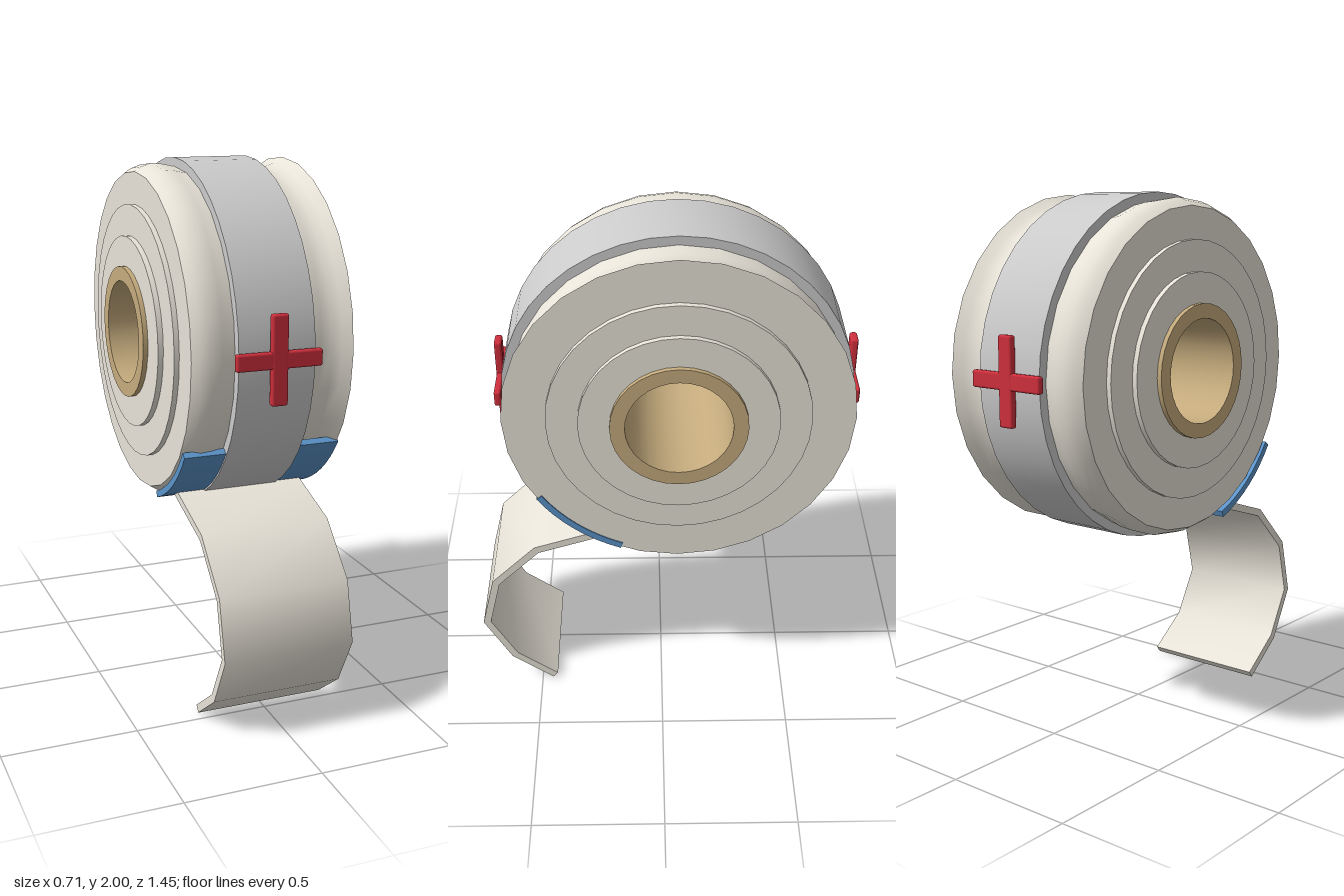
import * as THREE from 'three';
import { toCreasedNormals } from 'three/addons/utils/BufferGeometryUtils.js';
import { RoundedBoxGeometry } from 'three/addons/geometries/RoundedBoxGeometry.js';

const CY = 1.357, CZ = -0.06; // axis of the roll, running along x

const material = (color) => new THREE.MeshStandardMaterial({ color });
const cloth = material(0xe8e3d8), bandCloth = material(0xe6e6e3);
const card = material(0xc5ab7d), red = material(0xcf2f3c), blue = material(0x5b93c9);

export function createModel() {
  const model = new THREE.Group();

  const add = (name, geometry, mat, parent = model) => {
    const mesh = new THREE.Mesh(geometry, mat);
    mesh.name = name;
    parent.add(mesh);
    return mesh;
  };

  // Ring turned about the x axis: outer profile as [x, radius], closed by a bore
  const ring = (name, bore, profile, mat, segments) => {
    const first = profile[0][0], last = profile[profile.length - 1][0];
    const points = [[first, bore], ...profile, [last, bore], [first, bore]]
      .map(([x, r]) => new THREE.Vector2(r, x));
    const geometry = new THREE.LatheGeometry(points, segments);
    geometry.rotateZ(-Math.PI / 2);
    add(name, toCreasedNormals(geometry, 0.6), mat).position.set(0, CY, CZ);
  };

  // Sheet of even thickness following a [z, y] path, extruded across x
  const sheet = (name, path, thickness, width, mat) => {
    const pts = path.map(([z, y]) => new THREE.Vector2(z, y));
    const side = (s) => pts.map((p, i) => {
      const a = pts[Math.max(i - 1, 0)], b = pts[Math.min(i + 1, pts.length - 1)];
      const t = b.clone().sub(a).normalize();
      return new THREE.Vector2(p.x - t.y * s, p.y + t.x * s);
    });
    const shape = new THREE.Shape([...side(thickness / 2), ...side(-thickness / 2).reverse()]);
    const geometry = new THREE.ExtrudeGeometry(shape, { depth: width, bevelEnabled: false });
    geometry.translate(0, 0, -width / 2);
    geometry.rotateY(-Math.PI / 2);
    add(name, toCreasedNormals(geometry, 0.9), mat);
  };

  // Wound roll: bulging on one side, flared on the other
  ring('roll', 0.22, [
    [-0.297, 0.595], [-0.27, 0.612], [-0.235, 0.624], [-0.19, 0.62], [-0.145, 0.61],
    [0.145, 0.61], [0.185, 0.601], [0.225, 0.6], [0.26, 0.613], [0.295, 0.634],
  ], cloth, 28);

  // Stepped layers on both faces, and the hollow core
  ring('outerLayer', 0.22, [[-0.316, 0.475], [0.316, 0.475]], cloth, 36);
  ring('innerLayer', 0.22, [[-0.336, 0.36], [0.336, 0.36]], cloth, 36);
  ring('core', 0.193, [[-0.354, 0.247], [0.354, 0.247]], card, 32);

  // Raised band round the middle
  ring('band', 0.58, [[-0.143, 0.643], [0.143, 0.643]], bandCloth, 40);

  // Loose end hanging from the roll
  sheet('looseEnd', [
    [0.13, 0.82], [0.228, 0.79], [0.488, 0.706], [0.658, 0.536],
    [0.709, 0.324], [0.608, 0.136], [0.446, 0.013],
  ], 0.03, 0.495, cloth);

  // Curved patch under the loose end
  const arc = Array.from({ length: 9 }, (_, i) => {
    const a = -THREE.MathUtils.degToRad(34 + 36 * i / 8);
    return [CZ + 0.623 * Math.cos(a), CY + 0.623 * Math.sin(a)];
  });
  sheet('patch', arc, 0.025, 0.598, blue);

  // Crosses on the front and back of the band
  for (const [name, z] of [['frontCross', 0.596], ['backCross', -0.711]]) {
    const cross = new THREE.Group();
    cross.name = name;
    cross.position.set(0, CY, z);
    add('crossBar', new RoundedBoxGeometry(0.322, 0.062, 0.026, 2, 0.009), red, cross);
    add('crossPost', new RoundedBoxGeometry(0.062, 0.322, 0.028, 2, 0.009), red, cross);
    model.add(cross);
  }

  return model;
}
